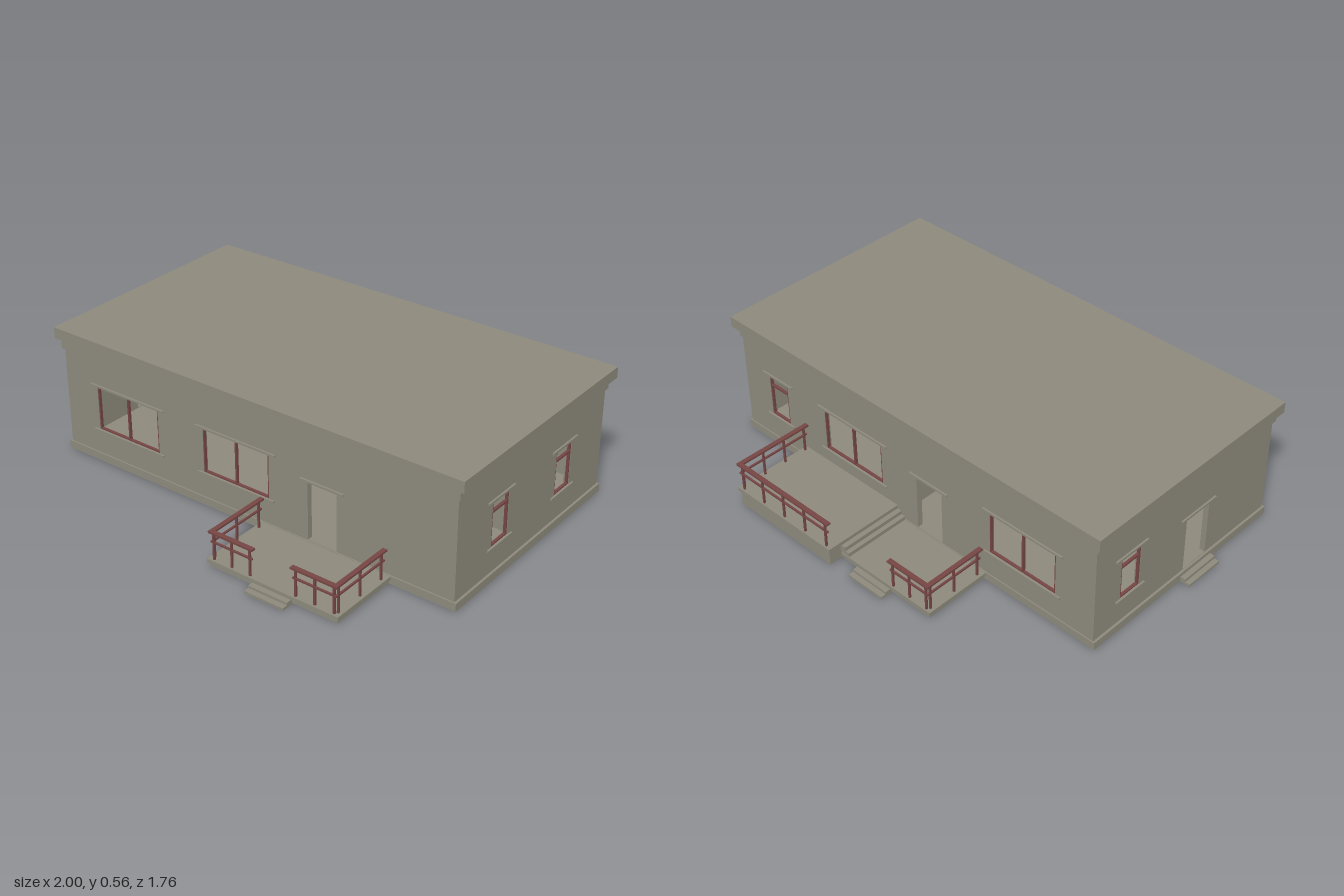
import * as THREE from 'three';

export function createModel() {
  const model = new THREE.Group();
  model.name = 'house';
  const stone = new THREE.MeshStandardMaterial({ name: 'greyStone', color: 0x8d8a7c });
  const maroon = new THREE.MeshStandardMaterial({ name: 'maroonPaint', color: 0x754644 });

  // Box given by its minimum and maximum on each axis
  function box(parent, name, mat, x0, x1, y0, y1, z0, z1) {
    const mesh = new THREE.Mesh(new THREE.BoxGeometry(x1 - x0, y1 - y0, z1 - z0), mat);
    mesh.position.set((x0 + x1) / 2, (y0 + y1) / 2, (z0 + z1) / 2);
    mesh.name = name;
    parent.add(mesh);
  }

  // Plinth with floor, cornice and roof slab
  box(model, 'plinth', stone, -0.955, 0.977, 0.005, 0.04, -0.523, 0.516);
  box(model, 'cornice', stone, -0.955, 0.977, 0.47, 0.515, -0.523, 0.518);
  box(model, 'roof', stone, -0.977, 1.0, 0.515, 0.563, -0.544, 0.532);

  // Wall with real openings; local +z points outward, outer surface at z = 0
  const T = 0.024, FLOOR = 0.04, TOP = 0.47;
  function rect(path, x0, x1, y0, y1) {
    path.moveTo(x0, y0);
    path.lineTo(x1, y0);
    path.lineTo(x1, y1);
    path.lineTo(x0, y1);
    path.closePath();
    return path;
  }
  function wall(name, u0, u1, position, angle, openings) {
    const g = new THREE.Group();
    g.name = name;
    g.position.set(...position);
    g.rotation.y = angle;
    const shape = rect(new THREE.Shape(), u0, u1, FLOOR, TOP);
    for (const { type, a, b } of openings) {
      const door = type === 'door';
      const y0 = door ? FLOOR + 0.002 : 0.152, y1 = door ? 0.297 : 0.348;
      shape.holes.push(rect(new THREE.Path(), a, b, y0, y1));
      box(g, type + 'Lintel', stone, a - 0.034, b + 0.034, y1, y1 + 0.009, -0.01, 0.008);
      if (door) continue;
      box(g, 'windowSill', stone, a - 0.026, b + 0.026, y0 - 0.008, y0, -0.01, 0.008);
      // Painted frame with a mullion or a transom
      const f = 0.006, z0 = -0.014, z1 = -0.002, m = (a + b) / 2;
      box(g, 'frameSide', maroon, a, a + f, y0, y1, z0, z1);
      box(g, 'frameSide', maroon, b - f, b, y0, y1, z0, z1);
      box(g, 'frameTop', maroon, a + f, b - f, y1 - f, y1, z0, z1);
      box(g, 'frameBottom', maroon, a + f, b - f, y0, y0 + f, z0, z1);
      if (type === 'wideWindow') box(g, 'mullion', maroon, m - 0.004, m + 0.004, y0 + f, y1 - f, z0, z1);
      else box(g, 'transom', maroon, a + f, b - f, 0.295, 0.303, z0, z1);
    }
    const geo = new THREE.ExtrudeGeometry(shape, { depth: T, bevelEnabled: false });
    geo.translate(0, 0, -T);
    const mesh = new THREE.Mesh(geo, stone);
    mesh.name = name + 'Panel';
    g.add(mesh);
    model.add(g);
  }
  const open = (type, a, b) => ({ type, a, b });
  wall('frontWall', -0.945, 0.967, [0, 0, 0.51], 0, [
    open('wideWindow', -0.774, -0.445), open('wideWindow', -0.21, 0.118), open('door', 0.305, 0.44)]);
  wall('backWall', -0.967, 0.945, [0, 0, -0.518], Math.PI, [
    open('narrowWindow', -0.815, -0.705), open('wideWindow', -0.48, -0.152),
    open('door', 0.042, 0.177), open('wideWindow', 0.43, 0.757)]);
  wall('leftWall', -0.486, 0.494, [0.967, 0, 0], Math.PI / 2, [
    open('narrowWindow', -0.28, -0.17), open('narrowWindow', 0.168, 0.278)]);
  wall('rightWall', -0.494, 0.486, [-0.945, 0, 0], -Math.PI / 2, [
    open('narrowWindow', -0.375, -0.267), open('door', 0.003, 0.138)]);

  // Inner partitions
  box(model, 'crossPartition', stone, 0.084, 0.943, FLOOR, TOP, -0.01, 0.01);
  box(model, 'longPartition', stone, 0.064, 0.084, FLOOR, TOP, -0.494, 0.01);

  // Deck: slab lipping over a thin skirt that is hollow underneath;
  // side is +1 in front of the house and -1 behind it
  function deck(name, x0, x1, near, far, y, side) {
    const g = new THREE.Group();
    g.name = name;
    const lip = 0.008, t = 0.008, under = y - 0.016;
    const part = (label, a, b, y0, y1, n, f) =>
      box(g, label, stone, a, b, y0, y1, Math.min(n * side, f * side), Math.max(n * side, f * side));
    part('deckSlab', x0, x1, under, y, near, far);
    part('skirtSide', x0 + lip, x0 + lip + t, 0.005, under, near, far - lip);
    part('skirtSide', x1 - lip - t, x1 - lip, 0.005, under, near, far - lip);
    part('skirtEnd', x0 + lip + t, x1 - lip - t, 0.005, under, far - lip - t, far - lip);
    model.add(g);
  }
  deck('frontPorch', 0.082, 0.692, 0.512, 0.834, 0.038, 1);
  deck('backLanding', -0.412, 0.07, 0.52, 0.822, 0.038, -1);
  deck('backTerrace', 0.07, 0.612, 0.52, 0.882, 0.09, -1);

  // Steps
  box(model, 'frontStepLow', stone, 0.3, 0.48, 0, 0.011, 0.826, 0.88);
  box(model, 'frontStepHigh', stone, 0.3, 0.48, 0.011, 0.022, 0.826, 0.857);
  box(model, 'backStepLow', stone, -0.2, -0.018, 0, 0.011, -0.868, -0.814);
  box(model, 'backStepHigh', stone, -0.2, -0.018, 0.011, 0.022, -0.845, -0.814);
  box(model, 'sideStepLow', stone, -1.0, -0.95, 0, 0.011, -0.02, 0.163);
  box(model, 'sideStepHigh', stone, -0.978, -0.95, 0.011, 0.024, -0.02, 0.163);
  box(model, 'terraceStepLow', stone, 0.03, 0.078, 0.038, 0.055, -0.818, -0.52);
  box(model, 'terraceStepHigh', stone, 0.05, 0.078, 0.055, 0.072, -0.818, -0.52);

  // Railing run between two points, with evenly spaced posts
  function railing(name, ax, az, bx, bz, y, posts) {
    const g = new THREE.Group();
    g.name = name;
    const bar = (part, y0, y1, h) => box(g, part, maroon,
      Math.min(ax, bx) - h, Math.max(ax, bx) + h, y + y0, y + y1,
      Math.min(az, bz) - h, Math.max(az, bz) + h);
    bar('topRail', 0.115, 0.123, 0.01);
    bar('middleRail', 0.073, 0.08, 0.004);
    for (let i = 0; i < posts; i++) {
      const t = (i + 0.1) / (posts - 0.8);
      const x = ax + (bx - ax) * t, z = az + (bz - az) * t;
      box(g, 'post', maroon, x - 0.004, x + 0.004, y, y + 0.116, z - 0.004, z + 0.004);
    }
    model.add(g);
  }
  railing('frontRailRight', 0.1, 0.822, 0.1, 0.54, 0.038, 3);
  railing('frontRailLeft', 0.675, 0.822, 0.675, 0.54, 0.038, 3);
  railing('frontRailRightEnd', 0.1, 0.822, 0.29, 0.822, 0.038, 3);
  railing('frontRailLeftEnd', 0.675, 0.822, 0.485, 0.822, 0.038, 3);
  railing('landingRailSide', -0.395, -0.812, -0.395, -0.54, 0.038, 3);
  railing('landingRailBack', -0.395, -0.812, -0.2, -0.812, 0.038, 3);
  railing('terraceRailSide', 0.597, -0.87, 0.597, -0.53, 0.09, 4);
  railing('terraceRailBack', 0.597, -0.87, 0.085, -0.87, 0.09, 5);

  return model;
}
